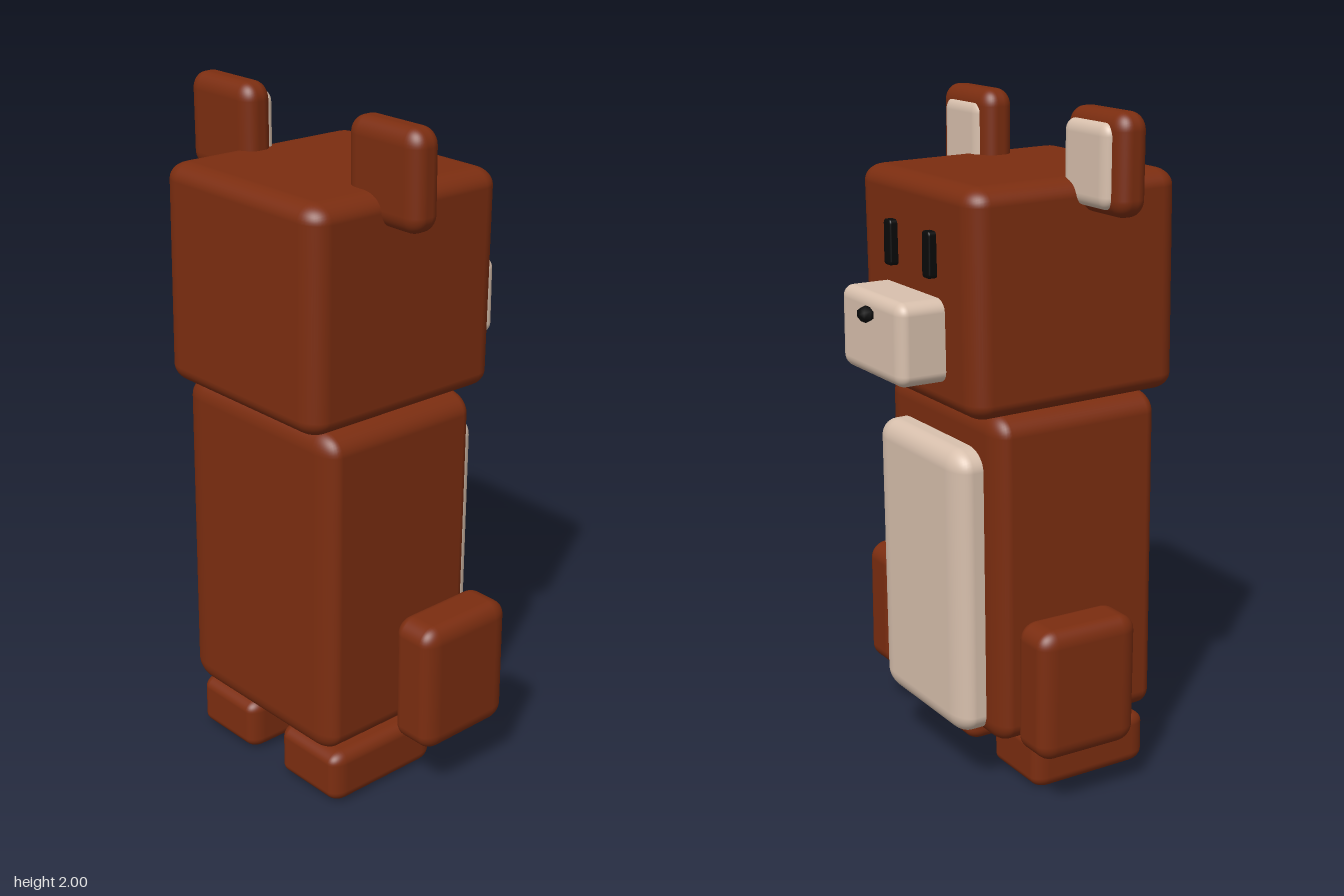
import * as THREE from 'three';
import { RoundedBoxGeometry } from 'three/addons/geometries/RoundedBoxGeometry.js';

const material = (name, color) => {
  const m = new THREE.MeshStandardMaterial({ color });
  m.name = name;
  return m;
};

export function createModel() {
  const model = new THREE.Group();
  model.name = 'blockBear';
  const fur = material('brownFur', 0x7b2d10);
  const cream = material('creamFur', 0xd8c0ad);
  const black = material('black', 0x0a0a0a);

  // Soft block between two bounds per axis, with its own edge rounding on each axis
  function softBlock(name, mat, [x0, x1], [y0, y1], [z0, z1], [rx, ry, rz], tilt = 0) {
    const geo = new RoundedBoxGeometry((x1 - x0) / rx, (y1 - y0) / ry, (z1 - z0) / rz, 5, 1);
    geo.scale(rx, ry, rz);
    const mesh = new THREE.Mesh(geo, mat);
    mesh.name = name;
    mesh.position.set((x0 + x1) / 2, (y0 + y1) / 2, (z0 + z1) / 2);
    mesh.rotation.z = tilt;
    model.add(mesh);
    return mesh;
  }

  // Head and torso lean very slightly forward
  softBlock('head', fur, [-0.425, 0.255], [1.17, 1.81], [-0.325, 0.325], [0.06, 0.05, 0.07], -0.018);
  softBlock('body', fur, [-0.382, 0.163], [0.18, 1.17], [-0.312, 0.333], [0.045, 0.06, 0.08], -0.012);
  softBlock('belly', cream, [0.08, 0.243], [0.19, 1.057], [-0.227, 0.27], [0.05, 0.06, 0.08], -0.012);

  // Arms, set slightly unevenly
  softBlock('leftArm', fur, [-0.163, 0.163], [0.175, 0.57], [0.349, 0.5], [0.055, 0.05, 0.04]);
  softBlock('rightArm', fur, [-0.213, 0.115], [0.175, 0.57], [-0.462, -0.312], [0.055, 0.05, 0.04]);

  // Feet
  softBlock('leftFoot', fur, [-0.363, 0.033], [0.003, 0.165], [0.074, 0.328], [0.05, 0.035, 0.035], 0.006).rotation.z = -0.01;
  softBlock('rightFoot', fur, [-0.363, 0.033], [0.003, 0.165], [-0.302, -0.05], [0.05, 0.035, 0.035], -0.01);

  // Ears with cream inner pads
  const earRound = [0.04, 0.05, 0.05], padRound = [0.025, 0.035, 0.035];
  softBlock('leftEar', fur, [-0.192, -0.093], [1.72, 2.0], [0.18, 0.453], earRound);
  softBlock('leftInnerEar', cream, [-0.16, -0.082], [1.735, 1.963], [0.217, 0.418], padRound);
  softBlock('rightEar', fur, [-0.184, -0.086], [1.72, 2.0], [-0.503, -0.229], earRound);
  softBlock('rightInnerEar', cream, [-0.15, -0.067], [1.74, 1.97], [-0.46, -0.249], padRound);

  // Muzzle
  softBlock('muzzle', cream, [0.16, 0.394], [1.25, 1.487], [-0.17, 0.188], [0.03, 0.035, 0.04]);

  // Eyes
  for (const [name, z] of [['leftEye', 0.108], ['rightEye', -0.111]]) {
    softBlock(name, black, [0.2, 0.282], [1.54, 1.67], [z - 0.021, z + 0.021], [0.006, 0.012, 0.01]);
  }

  // Faceted nose
  const noseGeo = new THREE.SphereGeometry(1, 6, 4).rotateZ(-Math.PI / 2).scale(0.022, 0.025, 0.034);
  const nose = new THREE.Mesh(noseGeo, black);
  nose.name = 'nose';
  nose.position.set(0.407, 1.433, 0.003);
  model.add(nose);

  return model;
}
